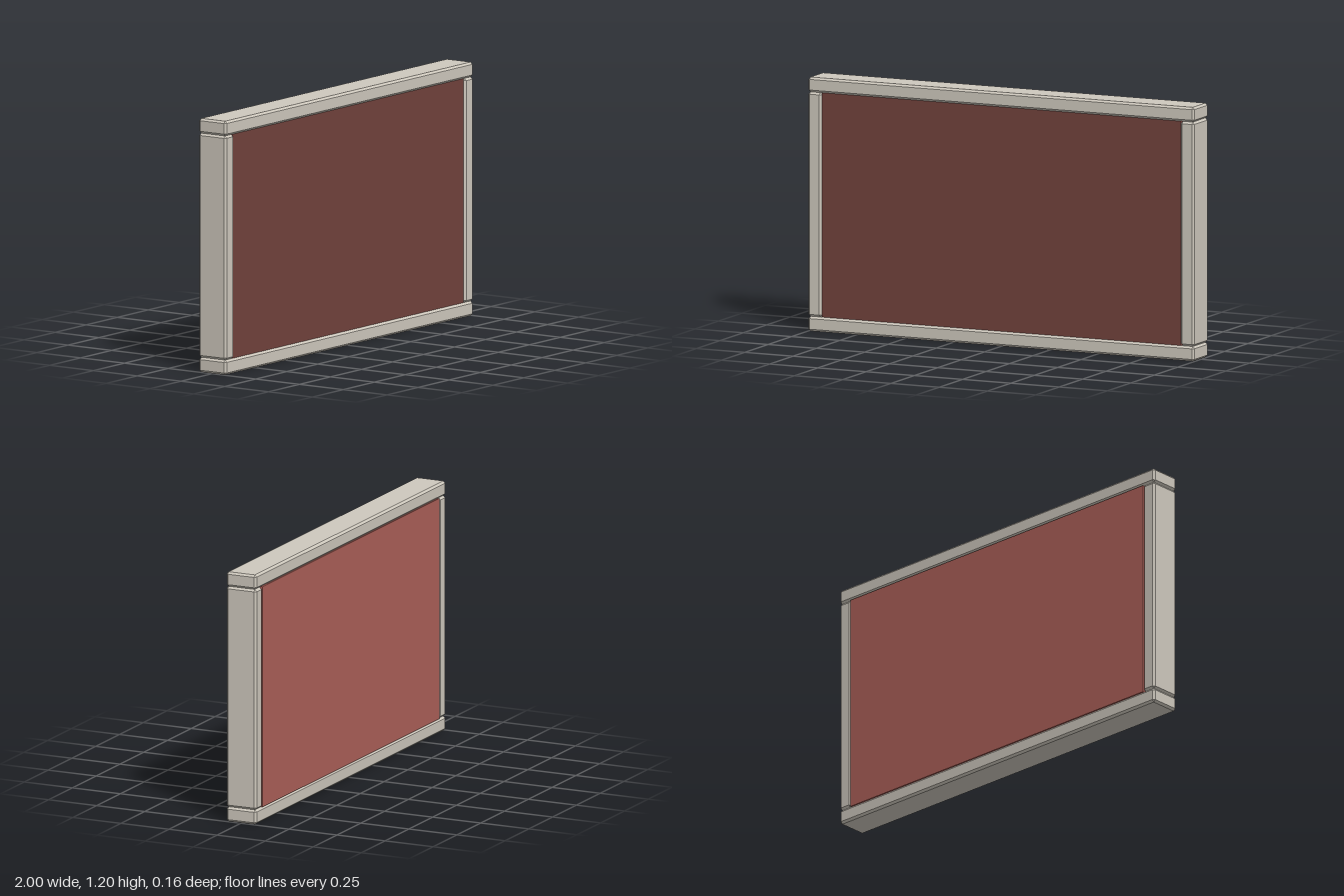
import * as THREE from 'three';
import { ConvexGeometry } from 'three/addons/geometries/ConvexGeometry.js';

const cream = new THREE.MeshStandardMaterial({ name: 'cream frame', color: 0xcec8bd });
const darkRed = new THREE.MeshStandardMaterial({ name: 'dark red front', color: 0x71423c });
const brick = new THREE.MeshStandardMaterial({ name: 'brick red back', color: 0xac6058 });

const WIDTH = 2, HEIGHT = 1.2, DEPTH = 0.156, BAR = 0.07, BEVEL = 0.01;

// Box with every edge chamfered: three points around each corner
function chamferBox(w, h, d, b) {
  const points = [];
  for (const x of [-w / 2, w / 2]) for (const y of [-h / 2, h / 2]) for (const z of [-d / 2, d / 2]) {
    const ix = x - Math.sign(x) * b, iy = y - Math.sign(y) * b, iz = z - Math.sign(z) * b;
    points.push(new THREE.Vector3(x, iy, iz), new THREE.Vector3(ix, y, iz), new THREE.Vector3(ix, iy, z));
  }
  return new ConvexGeometry(points);
}

export function createModel() {
  const model = new THREE.Group();
  model.name = 'framedPanel';

  const add = (name, geometry, material, x, y, z = 0) => {
    const mesh = new THREE.Mesh(geometry, material);
    mesh.name = name;
    mesh.position.set(x, y, z);
    model.add(mesh);
  };

  // Full-width rails at the top and bottom
  const rail = chamferBox(WIDTH, BAR, DEPTH, BEVEL);
  add('bottomRail', rail, cream, 0, BAR / 2);
  add('topRail', rail, cream, 0, HEIGHT - BAR / 2);

  // Posts standing between the rails
  const innerHeight = HEIGHT - 2 * BAR;
  const post = chamferBox(BAR, innerHeight, DEPTH, BEVEL);
  add('leftPost', post, cream, WIDTH / 2 - BAR / 2, HEIGHT / 2);
  add('rightPost', post, cream, -WIDTH / 2 + BAR / 2, HEIGHT / 2);

  // Panel filling the frame: slightly recessed in front, flush at the back
  const front = 0.068, back = -0.077;
  const panel = new THREE.BoxGeometry(WIDTH - 2 * BAR, innerHeight, front - back);
  add('panel', panel, [brick, brick, brick, brick, darkRed, brick], 0, HEIGHT / 2, (front + back) / 2);

  return model;
}
